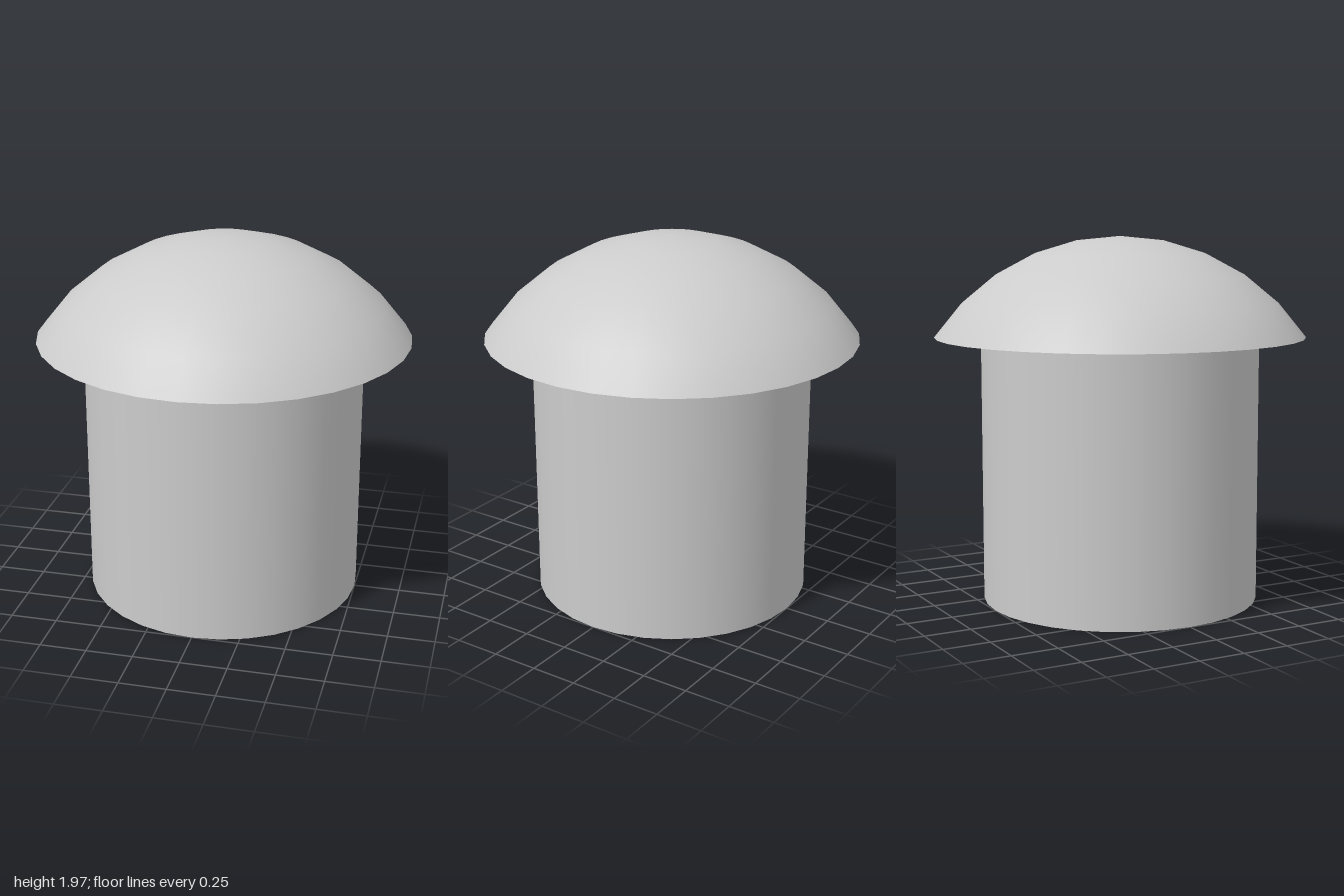
import * as THREE from 'three';

export function createModel() {
  const model = new THREE.Group();
  const grey = new THREE.MeshStandardMaterial({ color: 0xcccccc });
  const shell = new THREE.MeshStandardMaterial({ color: 0xcccccc, side: THREE.DoubleSide });

  // Stem: closed cylinder whose top sits just inside the hollow cap
  const stemHeight = 1.5;
  const stem = new THREE.Mesh(new THREE.CylinderGeometry(0.75, 0.75, stemHeight, 32), grey);
  stem.name = 'stem';
  stem.position.y = stemHeight / 2;
  model.add(stem);

  // Cap: thin open section of a sphere with a rim radius of 1
  const capRadius = 1.2, topY = 1.97;
  const cap = new THREE.Mesh(
    new THREE.SphereGeometry(capRadius, 32, 5, 0, Math.PI * 2, 0, Math.asin(1 / capRadius)),
    shell
  );
  cap.name = 'cap';
  cap.position.y = topY - capRadius;
  model.add(cap);

  return model;
}
